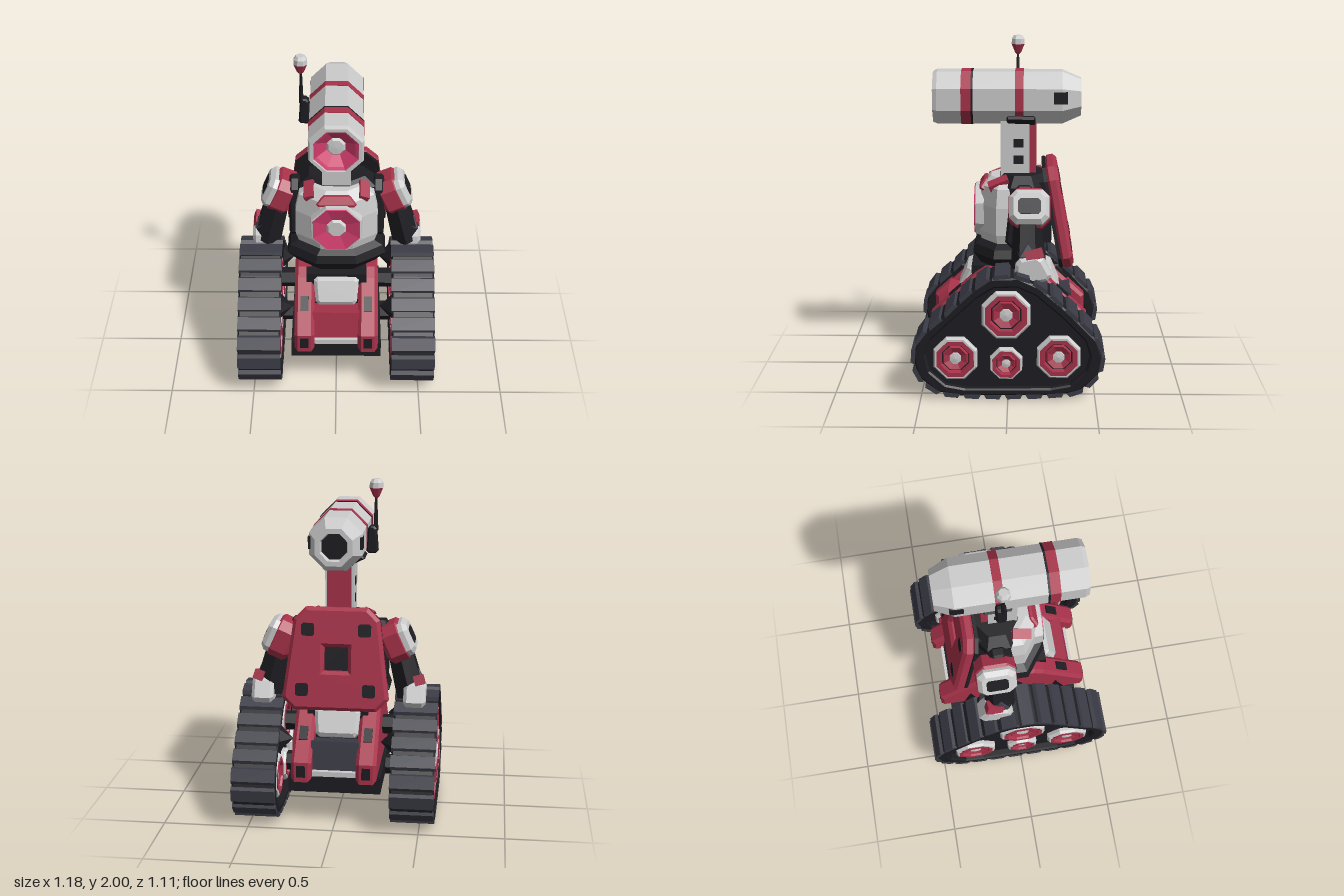
import * as THREE from 'three';

const GREY = 0xcccccc, RED = 0xa8324a, PINK = 0xd03c6c, DARK = 0x3b3b46, BLACK = 0x1d1d22;
const materials = {};
const mat = (c) => (materials[c] ??= new THREE.MeshStandardMaterial({
  color: c, flatShading: true, side: THREE.DoubleSide }));

function add(parent, name, geo, color, pos = [0, 0, 0], rot = [0, 0, 0]) {
  const m = new THREE.Mesh(geo, mat(color));
  m.name = name;
  m.position.set(...pos);
  m.rotation.set(...rot);
  parent.add(m);
}
const box = (w, h, d) => new THREE.BoxGeometry(w, h, d);
const toShape = (pts) => new THREE.Shape(pts.map(([x, y]) => new THREE.Vector2(x, y)));

// Extrusion centred on its depth, with an optional one-step bevel
function extrude(shape, depth, bevel = 0) {
  const g = new THREE.ExtrudeGeometry(shape, {
    depth: depth - 2 * bevel, bevelEnabled: bevel > 0, bevelSize: bevel,
    bevelThickness: bevel, bevelOffset: -bevel, bevelSegments: 1, steps: 1 });
  return g.translate(0, 0, -depth / 2 + bevel);
}

// Plate with cut corners; top and bottom widths may differ, window is a square hole
function plate(wTop, wBot, h, depth, cut, bevel, window = 0) {
  const t = wTop / 2, b = wBot / 2, y = h / 2;
  const s = toShape([[-b + cut, -y], [b - cut, -y], [b, -y + cut], [t, y - cut],
    [t - cut, y], [-t + cut, y], [-t, y - cut], [-b, -y + cut]]);
  if (window) {
    const q = window / 2;
    s.holes.push(new THREE.Path([[-q, -q], [-q, q], [q, q], [q, -q]].map((p) => new THREE.Vector2(...p))));
  }
  return extrude(s, depth, bevel);
}

// Eight-sided turned part with flats on the axes
const turned = (pts) => new THREE.LatheGeometry(
  pts.map(([r, y]) => new THREE.Vector2(r, y)), 8, Math.PI / 8);

// Road wheel facing out along dir (+1 or -1 on x)
function wheel(parent, r, x, y, z, dir) {
  const g = new THREE.Group();
  g.name = 'wheel';
  g.position.set(x, y, z);
  g.rotation.z = -dir * Math.PI / 2;
  parent.add(g);
  add(g, 'wheelRim', turned([[r, -0.02], [r, 0.015], [r * 0.92, 0.03], [r * 0.82, 0.03]]), GREY);
  add(g, 'wheelRing', turned([[r * 0.85, 0.035], [r * 0.66, 0.035], [r * 0.6, 0.0]]), RED);
  add(g, 'wheelGap', turned([[r * 0.64, 0.005], [r * 0.45, 0.005]]), BLACK);
  add(g, 'wheelDisc', turned([[r * 0.58, 0], [r * 0.52, 0.025], [r * 0.25, 0.01]]), RED);
  add(g, 'wheelHub', turned([[r * 0.28, 0], [r * 0.25, 0.02], [0, 0.025]]), GREY);
}

const TRACK = [[0.54, 0.26], [0.505, 0.36], [0.36, 0.5], [0.2, 0.65], [0.09, 0.72], [-0.06, 0.725],
  [-0.18, 0.67], [-0.34, 0.53], [-0.505, 0.36], [-0.54, 0.25], [-0.515, 0.15], [-0.41, 0.05],
  [-0.28, 0.025], [0.28, 0.02], [0.41, 0.045], [0.515, 0.14]];

function track(parent, s) {
  const g = new THREE.Group();
  g.name = s > 0 ? 'leftTrack' : 'rightTrack';
  parent.add(g);
  const cx = s * 0.46, turn = [0, -Math.PI / 2, 0];
  const inner = TRACK.map(([z, y]) => [z * 0.87, 0.32 + (y - 0.32) * 0.86]);
  const band = toShape(TRACK);
  band.holes.push(new THREE.Path(inner.map((p) => new THREE.Vector2(...p)).reverse()));
  add(g, 'trackBand', extrude(band, 0.255, 0.01), BLACK, [cx, 0, 0], turn);
  add(g, 'trackPanel', extrude(toShape(inner), 0.17), BLACK, [cx, 0, 0], turn);

  // Low tread lugs follow the belt
  const curve = new THREE.CatmullRomCurve3(TRACK.map(([z, y]) => new THREE.Vector3(0, y, z)), true, 'centripetal');
  const n = 24;
  for (let i = 0; i < n; i++) {
    const p = curve.getPointAt(i / n), t = curve.getTangentAt(i / n);
    const lug = box(0.258, 0.024, 0.1);
    const a = lug.attributes.position;
    for (let k = 0; k < a.count; k++) if (a.getY(k) > 0) a.setZ(k, a.getZ(k) * 0.75);
    add(g, 'treadLug', lug, DARK, [cx, p.y, p.z], [Math.atan2(-t.y, t.z) + Math.PI, 0, 0]);
  }
  for (const dir of [s, -s]) {
    const x = cx + dir * 0.09;
    wheel(g, 0.15, x, 0.5, 0.01, dir);
    wheel(g, 0.135, x, 0.24, 0.3, dir);
    wheel(g, 0.135, x, 0.25, -0.29, dir);
    wheel(g, 0.1, x, 0.21, 0.01, dir);
  }
  // Pointed inner axle caps
  for (const z of [-0.27, 0.27]) {
    add(g, 'axleCap', new THREE.ConeGeometry(0.08, 0.08, 6), BLACK, [s * 0.3, 0.48, z], [0, 0, s * Math.PI / 2]);
  }
}

function chassis(parent) {
  const g = new THREE.Group();
  g.name = 'chassis';
  parent.add(g);
  add(g, 'bellyPlate', box(0.54, 0.1, 0.8), BLACK, [0, 0.25, 0]);
  add(g, 'core', box(0.36, 0.4, 0.44), BLACK, [0, 0.48, 0]);
  for (const y of [0.24, 0.5]) {
    add(g, 'axle', new THREE.CylinderGeometry(0.06, 0.06, 0.72, 6), BLACK, [0, y, 0], [0, 0, Math.PI / 2]);
  }
  const rail = [[-0.46, 0.28], [0.46, 0.28], [0.46, 0.4], [0.2, 0.64], [0.14, 0.68],
    [-0.14, 0.68], [-0.2, 0.64], [-0.46, 0.4]];
  for (const s of [-1, 1]) {
    add(g, 'sideRail', extrude(toShape(rail), 0.12, 0.02), RED, [s * 0.19, 0, 0], [0, -Math.PI / 2, 0]);
    for (const f of [-1, 1]) {
      add(g, 'railSlot', box(0.05, 0.07, 0.02), BLACK, [s * 0.19, 0.345, f * 0.454]);
      add(g, 'railSlot', box(0.05, 0.09, 0.02), BLACK, [s * 0.19, 0.53, f * 0.315], [-f * 0.83, 0, 0]);
    }
  }
  for (const f of [-1, 1]) {
    add(g, 'bumper', box(0.28, 0.17, 0.12), f > 0 ? RED : DARK, [0, 0.41, f * 0.32], [-f * 0.15, 0, 0]);
    add(g, 'bumperSill', box(0.28, 0.03, 0.14), GREY, [0, 0.315, f * 0.34]);
    add(g, 'nosePlate', plate(0.27, 0.25, 0.17, 0.12, 0.02, 0.02), GREY, [0, 0.57, f * 0.22], [-f * 0.4, 0, 0]);
  }
}

function torso(parent) {
  const g = new THREE.Group();
  g.name = 'torso';
  parent.add(g);
  const body = (pts) => turned(pts).scale(1, 1, 0.72);
  add(g, 'pelvis', body([[0, 0.64], [0.24, 0.67], [0.32, 0.75], [0.3, 0.8], [0.22, 0.84]]), BLACK);
  add(g, 'bodyShell', body([[0.18, 0.74], [0.23, 0.78], [0.265, 0.88], [0.265, 1.04], [0.24, 1.15], [0.16, 1.2], [0, 1.2]]), GREY);
  add(g, 'collar', body([[0.25, 1.08], [0.25, 1.16], [0.18, 1.22], [0, 1.22]]), BLACK, [0, 0, -0.08]);
  for (const s of [-1, 1]) {
    add(g, 'sideFrame', plate(0.16, 0.22, 0.38, 0.07, 0.05, 0.015), BLACK, [s * 0.25, 0.99, -0.09], [0, s * Math.PI / 2, 0]);
    add(g, 'collarTrim', box(0.06, 0.04, 0.12), RED, [s * 0.16, 1.175, 0.06], [0.4, 0, -s * 0.4]);
  }
  // Round chest lamp
  const lamp = (pts) => turned(pts).rotateX(Math.PI / 2);
  add(g, 'chestBezel', lamp([[0.165, -0.05], [0.16, 0], [0.145, 0.005]]), GREY, [0, 0.99, 0.198]);
  add(g, 'chestRing', lamp([[0.155, -0.01], [0.148, 0.008], [0.06, -0.016]]), PINK, [0, 0.99, 0.198]);
  add(g, 'chestHub', lamp([[0.065, -0.02], [0.05, 0.0], [0, 0.0]]), GREY, [0, 0.99, 0.198]);
  add(g, 'chestCap', plate(0.18, 0.24, 0.07, 0.05, 0.015, 0.01), RED, [0, 1.15, 0.14], [-0.6, 0, 0]);

  // Tilted back panel with a central window and corner slots
  const pack = new THREE.Group();
  pack.name = 'backPanel';
  pack.position.set(0, 0.985, -0.285);
  pack.rotation.x = 0.18;
  g.add(pack);
  add(pack, 'panel', plate(0.5, 0.62, 0.6, 0.075, 0.07, 0.02, 0.14), RED, [0, 0, -0.01]);
  add(pack, 'panelBacking', plate(0.5, 0.61, 0.595, 0.02, 0.07, 0), BLACK, [0, 0, 0.03]);
  for (const s of [-1, 1]) for (const [x, y] of [[0.165, 0.17], [0.195, -0.18]]) {
    add(pack, 'panelSlot', plate(0.075, 0.075, 0.075, 0.02, 0.01, 0), BLACK, [s * x, y, -0.04]);
  }
  add(g, 'packMount', box(0.34, 0.36, 0.14), BLACK, [0, 1.0, -0.18]);
}

function arm(parent, s) {
  const g = new THREE.Group();
  g.name = s > 0 ? 'leftArm' : 'rightArm';
  parent.add(g);
  const out = [0, s * Math.PI / 2, 0];
  // Shoulder pad leans outward
  const pad = new THREE.Group();
  pad.name = 'shoulder';
  pad.position.set(s * 0.34, 1.065, -0.12);
  pad.rotation.z = s * 0.42;
  g.add(pad);
  add(pad, 'shoulderPad', plate(0.24, 0.24, 0.23, 0.14, 0.05, 0.025), RED, [-s * 0.01, 0, 0], out);
  add(pad, 'shoulderCover', plate(0.23, 0.23, 0.2, 0.08, 0.04, 0.025), GREY, [s * 0.055, 0, 0], out);
  add(pad, 'shoulderWindow', plate(0.13, 0.13, 0.09, 0.02, 0.015, 0), BLACK, [s * 0.088, 0, 0], out);
  add(g, 'upperArm', new THREE.CylinderGeometry(0.08, 0.095, 0.3, 6), BLACK, [s * 0.39, 0.88, -0.11], [0, 0, s * 0.25]);
  add(g, 'elbow', new THREE.IcosahedronGeometry(0.08), DARK, [s * 0.43, 0.82, -0.11]);
  add(g, 'elbowGuard', box(0.06, 0.06, 0.1), RED, [s * 0.475, 0.83, -0.15], [0.3, 0, s * 0.3]);
  add(g, 'forearm', plate(0.16, 0.22, 0.16, 0.13, 0.03, 0.02), GREY, [s * 0.45, 0.745, -0.13], [0.2, s * Math.PI / 2, 0]);
}

function head(parent) {
  const g = new THREE.Group();
  g.name = 'head';
  parent.add(g);
  // Neck column
  add(g, 'neck', box(0.17, 0.36, 0.17), GREY, [0, 1.35, -0.035]);
  add(g, 'neckSpine', box(0.14, 0.36, 0.05), RED, [0, 1.35, -0.135]);
  for (const s of [-1, 1]) for (const y of [1.3, 1.4]) {
    add(g, 'neckSlot', box(0.01, 0.05, 0.06), BLACK, [s * 0.082, y, -0.055]);
  }
  add(g, 'headBracket', plate(0.3, 0.18, 0.06, 0.17, 0.015, 0.01), BLACK, [0, 1.535, -0.07]);

  const tube = new THREE.Group();
  tube.name = 'headTube';
  tube.position.y = 1.665;
  g.add(tube);
  const along = (pts) => turned(pts).rotateX(Math.PI / 2);
  add(tube, 'headShell', along([[0.075, -0.37], [0.085, -0.42], [0.115, -0.42], [0.165, -0.31],
    [0.166, 0.42], [0.155, 0.445], [0.135, 0.445], [0.13, 0.4]]), GREY);
  add(tube, 'rearVent', along([[0.09, -0.385], [0, -0.385]]), BLACK);
  add(tube, 'lensRing', along([[0.138, 0.435], [0.115, 0.425], [0.055, 0.38]]), PINK);
  add(tube, 'lens', along([[0.06, 0.375], [0.045, 0.395], [0, 0.398]]), GREY);
  for (const [z, w] of [[0.25, 0.03], [-0.06, 0.025]]) {
    add(tube, 'headBand', along([[0.15, z - w], [0.169, z - w], [0.169, z + w], [0.15, z + w]]), RED);
  }
  add(tube, 'bandSeam', along([[0.15, 0.21], [0.17, 0.21], [0.17, 0.222], [0.15, 0.222]]), BLACK);
  for (const s of [-1, 1]) add(tube, 'sideSlot', box(0.02, 0.07, 0.08), BLACK, [s * 0.145, 0.01, -0.3]);

  // Antenna on the model's right
  add(g, 'antennaBase', plate(0.05, 0.07, 0.16, 0.06, 0.015, 0.01), BLACK, [-0.185, 1.65, -0.06]);
  add(g, 'antennaRod', new THREE.CylinderGeometry(0.007, 0.015, 0.2, 5), BLACK, [-0.203, 1.8, -0.05]);
  add(g, 'antennaTip', turned([[0, 1.88], [0.02, 1.9], [0.042, 1.95]]), RED, [-0.205, 0, -0.05]);
  add(g, 'antennaCap', turned([[0.042, 1.95], [0.04, 1.98], [0.025, 2], [0, 2]]), GREY, [-0.205, 0, -0.05]);
}

export function createModel() {
  const robot = new THREE.Group();
  robot.name = 'robot';
  chassis(robot);
  torso(robot);
  head(robot);
  for (const s of [-1, 1]) {
    track(robot, s);
    arm(robot, s);
  }
  return robot;
}
